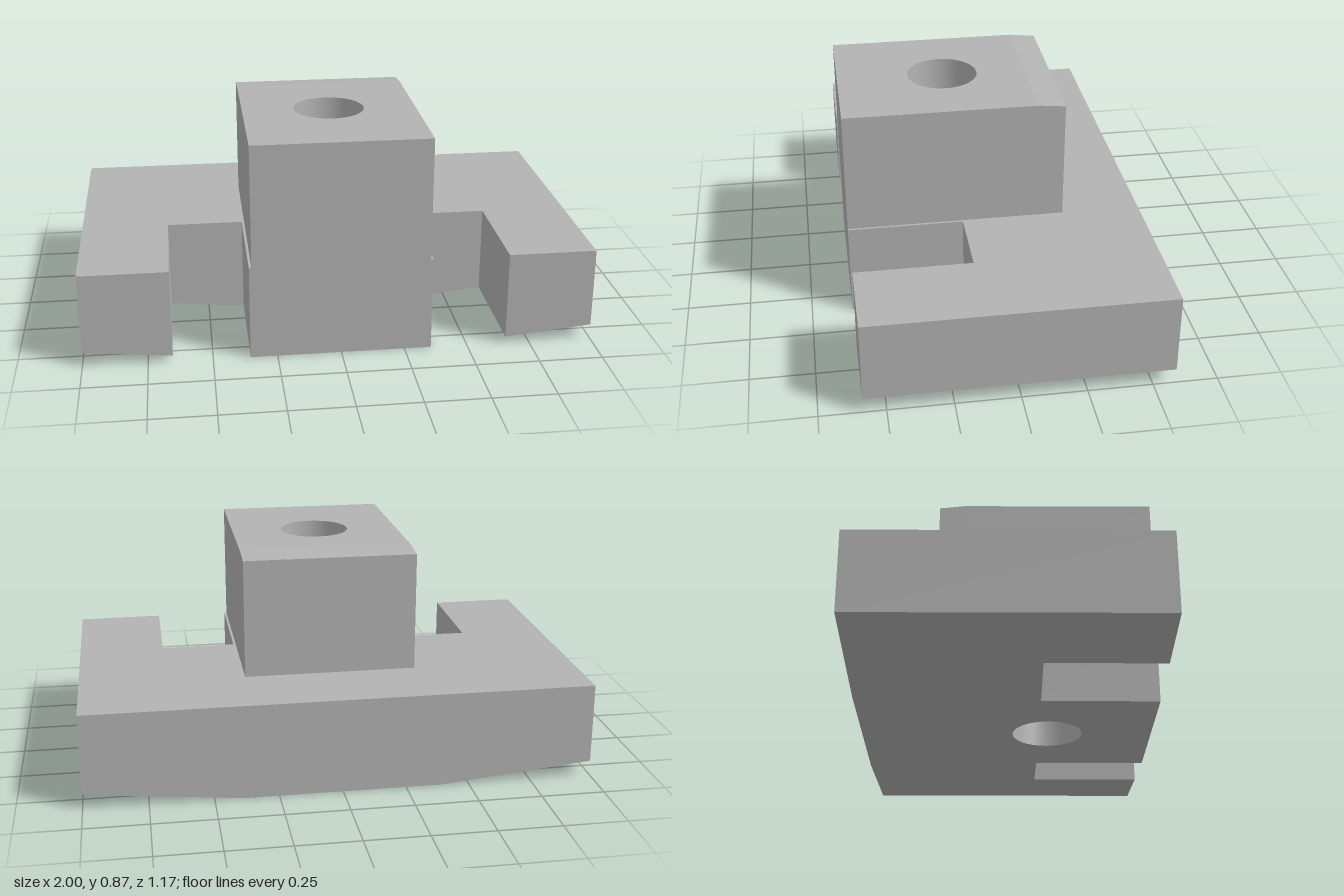
import * as THREE from 'three';

const HOLE = { z: 0.165, r: 0.14, sides: 48 };

// Flat plan region from [x, z] points, counter-clockwise seen from above
function region(points, withHole) {
  const shape = new THREE.Shape(points.map(([x, z]) => new THREE.Vector2(x, -z)));
  if (withHole) {
    const hole = new THREE.Path();
    hole.absarc(0, -HOLE.z, HOLE.r, 0, Math.PI * 2, true);
    shape.holes.push(hole);
  }
  return new THREE.ShapeGeometry(shape, HOLE.sides);
}

// Collects the triangles of a cap, raised to a height rule
function addCap(out, geometry, height, faceDown) {
  const flat = geometry.toNonIndexed().getAttribute('position');
  for (let i = 0; i < flat.count; i += 3) {
    for (const k of faceDown ? [0, 2, 1] : [0, 1, 2]) {
      const x = flat.getX(i + k), z = -flat.getY(i + k);
      out.push(x, height(x, z), z);
    }
  }
}

// Collects upright walls around an outline
function addWalls(out, outline, low, high) {
  outline.forEach(([x, z], i) => {
    const [u, w] = outline[(i + 1) % outline.length];
    const a = [x, low(x, z), z], b = [u, low(u, w), w];
    const c = [u, high(u, w), w], d = [x, high(x, z), z];
    out.push(...a, ...b, ...c, ...a, ...c, ...d);
  });
}

function toMesh(name, positions, material) {
  const geometry = new THREE.BufferGeometry();
  geometry.setAttribute('position', new THREE.Float32BufferAttribute(positions, 3));
  geometry.computeVertexNormals();
  const mesh = new THREE.Mesh(geometry, material);
  mesh.name = name;
  return mesh;
}

export function createModel() {
  const group = new THREE.Group();
  group.name = 'clampBlock';
  const grey = new THREE.MeshStandardMaterial({ color: 0xb3b3b3 });
  grey.name = 'grey';

  // Base plate: two front notches, underside rising toward both ends
  const F = 0.587, B = -0.587, N = 0.13, K = 0.39, T = 0.355, A = 0.655;
  const baseTop = () => 0.38;
  const baseLow = (x) => Math.max(0, (Math.abs(x) - K) / (1 - K)) * 0.06;
  const outline = [
    [-1, F], [-A, F], [-A, N], [-K, N], [-T, N], [-T, F],
    [T, F], [T, N], [K, N], [A, N], [A, F], [1, F],
    [1, B], [K, B], [-K, B], [-1, B],
  ];
  const centre = [[-K, N], [-T, N], [-T, F], [T, F], [T, N], [K, N], [K, B], [-K, B]];
  const leftEnd = [[K, N], [A, N], [A, F], [1, F], [1, B], [K, B]];
  const rightEnd = leftEnd.map(([x, z]) => [-x, z]).reverse();
  const base = [];
  addWalls(base, outline, baseLow, baseTop);
  addCap(base, region(outline, true), baseTop, false);
  addCap(base, region(centre, true), baseLow, true);
  for (const end of [leftEnd, rightEnd]) addCap(base, region(end, false), baseLow, true);
  group.add(toMesh('basePlate', base, grey));

  // Raised block: flush with the front, top falling slightly at the back
  const W = 0.345, R = -0.275, S = -0.17;
  const blockTop = (x, z) => 0.868 - Math.max(0, (S - z) / (S - R)) * 0.011;
  const level = [[-W, F], [W, F], [W, S], [-W, S]];
  const slope = [[-W, S], [W, S], [W, R], [-W, R]];
  const block = [];
  addWalls(block, [[-W, F], [W, F], [W, S], [W, R], [-W, R], [-W, S]], baseTop, blockTop);
  addCap(block, region(level, true), blockTop, false);
  addCap(block, region(slope, false), blockTop, false);
  group.add(toMesh('raisedBlock', block, grey));

  // Bore through block and plate, drawn downward so its wall faces inward
  const bore = new THREE.Mesh(
    new THREE.LatheGeometry(
      [new THREE.Vector2(HOLE.r, 0.868), new THREE.Vector2(HOLE.r, 0)], HOLE.sides), grey);
  bore.name = 'boreWall';
  bore.position.z = HOLE.z;
  group.add(bore);

  return group;
}
